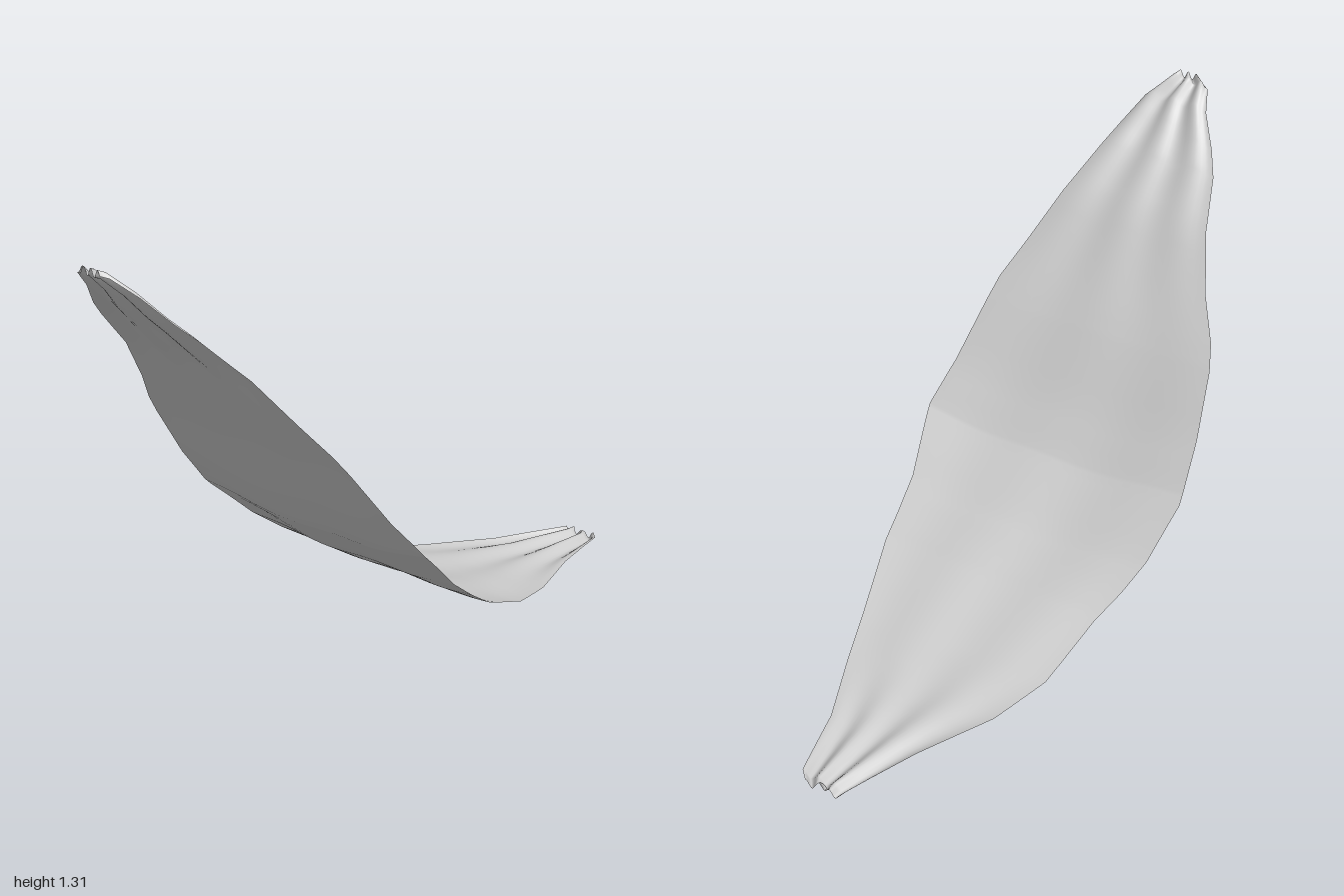
import * as THREE from 'three';

// Lengthwise stations of the sheet: z, centre height, right edge x, left edge x
const STATIONS = [
  [-1.00, 0.017, -0.06, 0.05],
  [-0.97, 0.018, -0.07, 0.08],
  [-0.75, 0.024, -0.15, 0.14],
  [-0.53, 0.040, -0.26, 0.235],
  [-0.35, 0.073, -0.32, 0.30],
  [-0.13, 0.155, -0.35, 0.37],
  [-0.04, 0.205, -0.385, 0.38],
  [0.05, 0.262, -0.415, 0.39],
  [0.19, 0.375, -0.44, 0.43],
  [0.22, 0.40, -0.435, 0.437],
  [0.32, 0.52, -0.42, 0.405],
  [0.44, 0.69, -0.39, 0.37],
  [0.49, 0.755, -0.365, 0.355],
  [0.57, 0.855, -0.30, 0.31],
  [0.68, 0.995, -0.235, 0.25],
  [0.80, 1.115, -0.19, 0.19],
  [0.86, 1.17, -0.15, 0.16],
  [0.93, 1.245, -0.09, 0.115],
  [0.98, 1.295, -0.066, 0.06],
  [1.00, 1.303, -0.03, 0.045],
];
const COLUMNS = 28;
const SPLIT = 3; // rows between neighbouring stations

function station(t) {
  const i = Math.min(Math.floor(t), STATIONS.length - 2);
  return STATIONS[i].map((v, k) => THREE.MathUtils.lerp(v, STATIONS[i + 1][k], t - i));
}

// Height change across the sheet: shallow dish in the middle, pleats at the gathered ends
function relief(u, z) {
  const dish = 0.03 * Math.exp(-(((z - 0.2) / 0.22) ** 2)) * (u * u - 0.35);
  const gather = THREE.MathUtils.smoothstep(Math.abs(z), 0.35, 0.95);
  const pleats = 0.011 * gather * Math.sin(u * 9 + Math.sign(z) * 0.8);
  const wobble = 0.004 * (1 - gather) * Math.sin(u * 7 + z * 3);
  return dish + pleats + wobble;
}

export function createModel() {
  const rows = (STATIONS.length - 1) * SPLIT;
  const positions = [];
  const indices = [];
  for (let r = 0; r <= rows; r++) {
    const [z, y, x0, x1] = station(r / SPLIT);
    for (let c = 0; c <= COLUMNS; c++) {
      const u = (c / COLUMNS) * 2 - 1;
      // small notches along the back tip
      const notch = r === 0 ? 0.02 * Math.max(0, Math.cos(u * 4)) : 0;
      positions.push(THREE.MathUtils.lerp(x0, x1, c / COLUMNS), Math.max(0, y + relief(u, z)), z + notch);
      if (r < rows && c < COLUMNS) {
        const a = r * (COLUMNS + 1) + c;
        const b = a + COLUMNS + 1;
        indices.push(a, b, a + 1, a + 1, b, b + 1);
      }
    }
  }
  const geometry = new THREE.BufferGeometry();
  geometry.setAttribute('position', new THREE.Float32BufferAttribute(positions, 3));
  geometry.setIndex(indices);
  geometry.computeVertexNormals();

  const leaf = new THREE.Mesh(
    geometry,
    new THREE.MeshStandardMaterial({ color: 0xcccccc, side: THREE.DoubleSide })
  );
  leaf.name = 'curvedLeafSheet';
  const model = new THREE.Group();
  model.name = 'leaf';
  model.add(leaf);
  return model;
}
